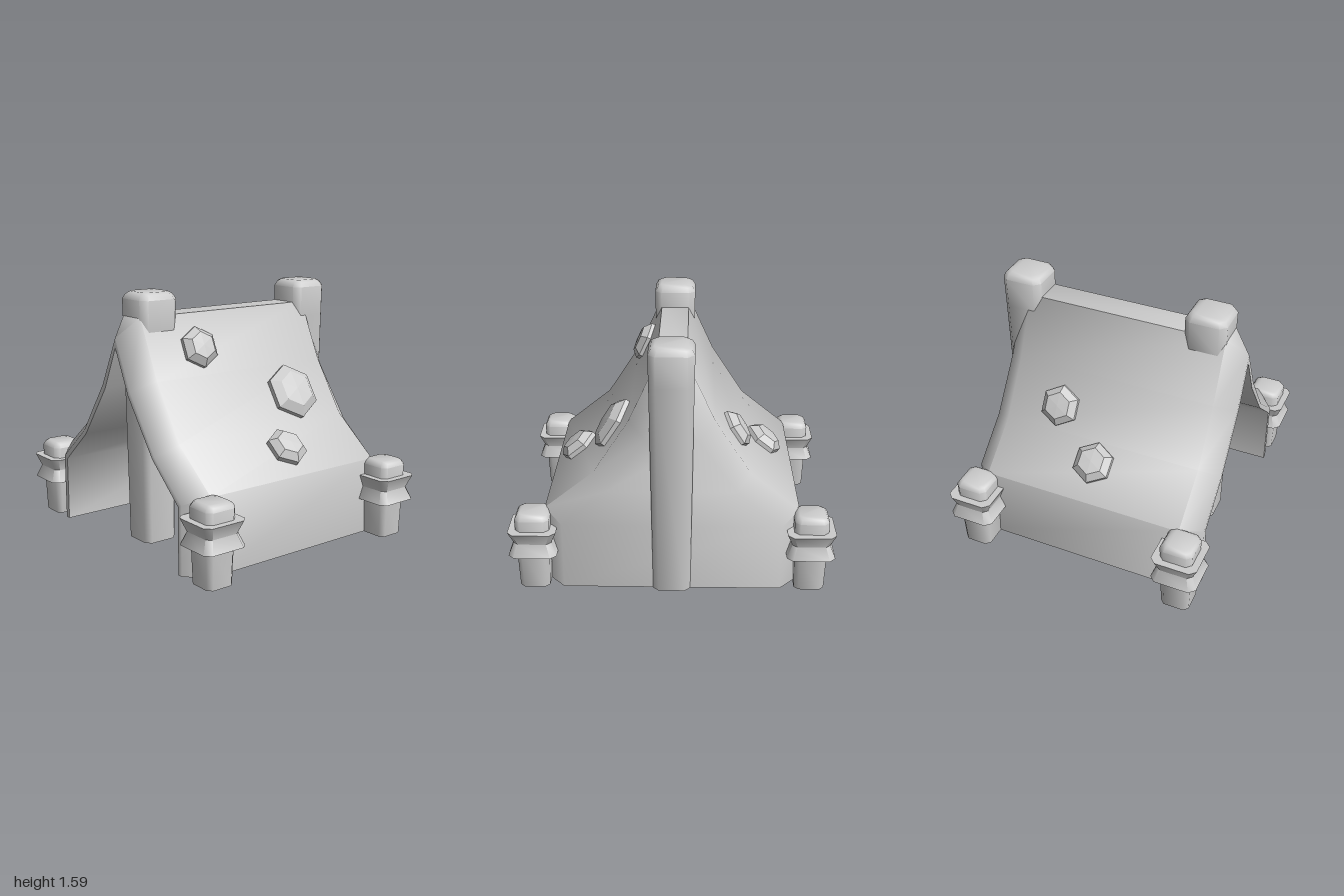
import * as THREE from 'three';
import { toCreasedNormals } from 'three/addons/utils/BufferGeometryUtils.js';

const stone = new THREE.MeshStandardMaterial({ color: 0xcccccc });
stone.name = 'pale grey';

// Collects polygons as triangle fans, skipping collapsed triangles
function builder() {
  const pos = [];
  return {
    poly(...p) {
      for (let i = 1; i < p.length - 1; i++) {
        const t = new THREE.Triangle(p[0], p[i], p[i + 1]);
        if (t.getArea() > 1e-7) for (const v of [t.a, t.b, t.c]) pos.push(v.x, v.y, v.z);
      }
    },
    mesh(name, crease) {
      const g = new THREE.BufferGeometry();
      g.setAttribute('position', new THREE.Float32BufferAttribute(pos, 3));
      const m = new THREE.Mesh(toCreasedNormals(g, crease), stone);
      m.name = name;
      return m;
    },
  };
}

// Square post with cut corners, lofted through [height, half width] pairs
function squareLoft(name, profile, cut = 0.3) {
  const b = builder();
  const rings = profile.map(([y, h]) => {
    const k = h * (1 - cut);
    return [[h, k], [k, h], [-k, h], [-h, k], [-h, -k], [-k, -h], [k, -h], [h, -k]]
      .map(([x, z]) => new THREE.Vector3(x, y, z));
  });
  for (let r = 0; r < rings.length - 1; r++) {
    const lo = rings[r], hi = rings[r + 1];
    for (let i = 0; i < 8; i++) {
      const j = (i + 1) % 8;
      b.poly(lo[i], hi[i], hi[j], lo[j]);
    }
  }
  b.poly(...rings[0]);
  b.poly(...rings[rings.length - 1].slice().reverse());
  return b.mesh(name, 0.9);
}

// Tent cover: mirrored profiles joined from the inside, round the rim, to the back
function tentCover() {
  const b = builder();
  const outer = [[0.785, 0], [0.785, 0.49], [0.48, 0.735], [0.26, 1.075], [0.09, 1.445]];
  const rim = [[0.67, 0], [0.67, 0.435], [0.4, 0.665], [0.155, 1.01], [0, 1.32]];
  const inner = [[0.635, 0], [0.635, 0.42], [0.38, 0.645], [0.13, 0.985], [0, 1.26]];
  const ring = (half, z) => [
    ...half.map(([x, y]) => new THREE.Vector3(x, y, z)),
    ...half.slice().reverse().map(([x, y]) => new THREE.Vector3(-x, y, z)),
  ];
  const rings = [
    ring(inner, -0.65), ring(inner, 0.785), ring(rim, 0.785),
    ring(outer, 0.66), ring(outer, -0.66), ring(rim, -0.785),
  ];
  for (let r = 0; r < rings.length - 1; r++) {
    const p = rings[r], q = rings[r + 1];
    for (let i = 0; i < 9; i++) b.poly(p[i], q[i], q[i + 1], p[i + 1]);
  }
  // back wall, inside and outside
  const first = rings[0], last = rings[5];
  for (let i = 0; i < 4; i++) {
    b.poly(last[i], last[9 - i], last[8 - i], last[i + 1]);
    b.poly(first[i], first[i + 1], first[8 - i], first[9 - i]);
  }
  // undersides of the walls
  b.poly(...rings.map((r) => r[0]).reverse());
  b.poly(...rings.map((r) => r[9]));
  b.poly(first[9], last[9], last[0], first[0]);
  return b.mesh('tentCover', 0.95);
}

// Six-sided stud lying on the sloping roof
function roofStud(x, y, z, radius, slope) {
  const pts = [[radius, -0.04], [radius, 0.025], [radius * 0.66, 0.065], [0, 0.07]]
    .map(([r, h]) => new THREE.Vector2(r, h));
  const g = new THREE.LatheGeometry(pts, 6, Math.PI / 6).toNonIndexed();
  g.computeVertexNormals();
  const m = new THREE.Mesh(g, stone);
  m.name = 'roofStud';
  m.position.set(x, y, z);
  m.rotation.z = -Math.sign(x) * slope;
  return m;
}

export function createModel() {
  const model = new THREE.Group();
  model.name = 'tent';
  model.add(tentCover());

  // tall ridge poles
  for (const [name, z] of [['frontPole', 0.533], ['backPole', -0.71]]) {
    const pole = squareLoft(name, [[0, 0.115], [1.35, 0.132], [1.545, 0.135], [1.575, 0.118], [1.59, 0.095]]);
    pole.position.z = z;
    model.add(pole);
  }

  // corner stakes with hourglass collars
  for (const sx of [1, -1]) {
    for (const sz of [1, -1]) {
      const stake = new THREE.Group();
      stake.name = 'cornerStake';
      stake.add(squareLoft('stakePost',
        [[0, 0.092], [0.24, 0.1], [0.465, 0.106], [0.488, 0.092], [0.5, 0.075]]));
      stake.add(squareLoft('stakeCollar', [[0.235, 0.148], [0.315, 0.115], [0.395, 0.148]], 0.25));
      stake.position.set(sx * 0.852, 0, sz * 0.702);
      model.add(stake);
    }
  }

  // studs: x, y, z, radius, slope
  for (const s of [
    [0.185, 1.235, 0.295, 0.133, 1.145],
    [0.375, 0.905, -0.32, 0.185, 1.0],
    [0.625, 0.625, -0.055, 0.133, 0.68],
    [-0.39, 0.87, -0.315, 0.133, 1.0],
    [-0.59, 0.65, 0.005, 0.133, 0.68],
  ]) model.add(roofStud(...s));

  return model;
}
